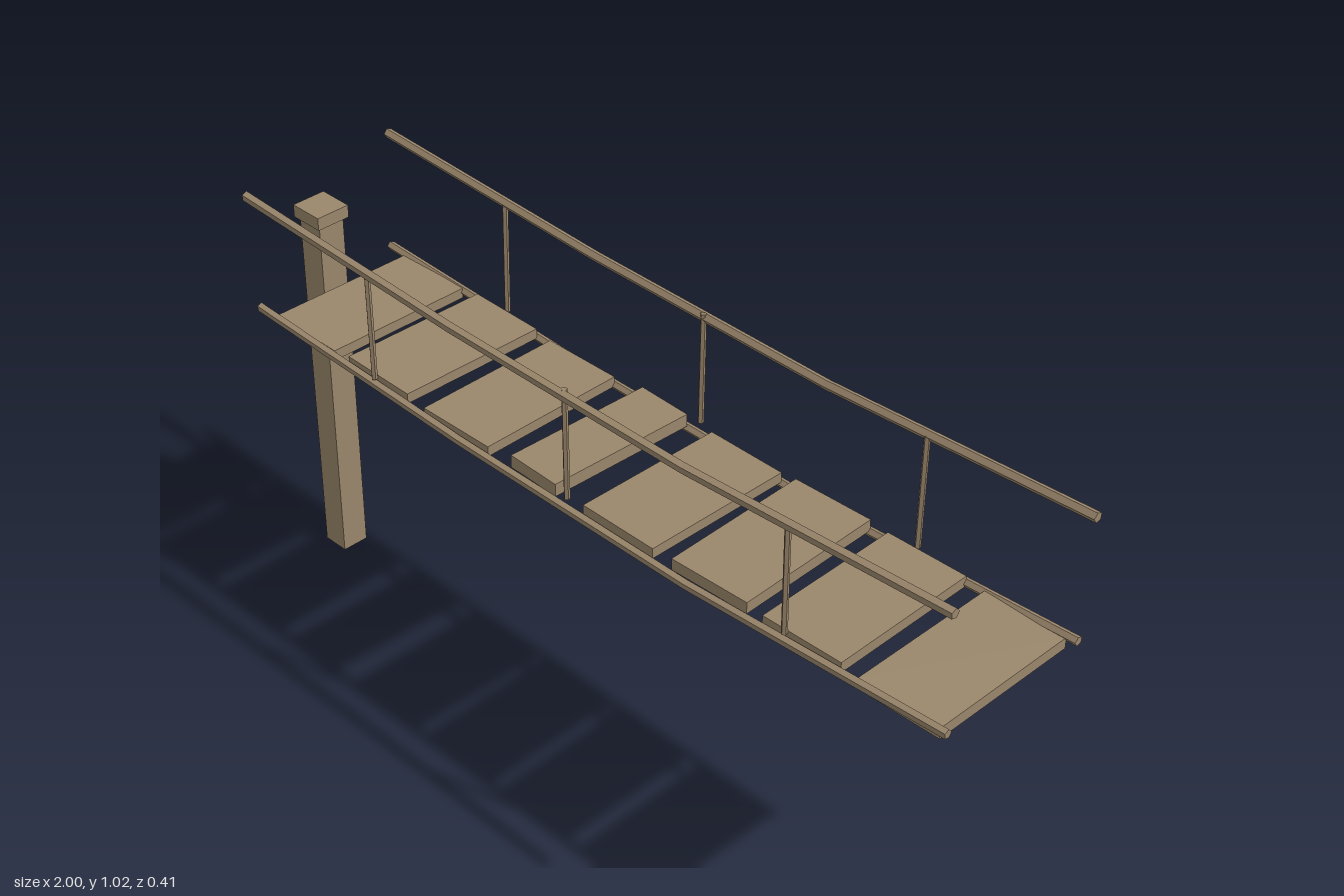
import * as THREE from 'three';

const wood = new THREE.MeshStandardMaterial({ color: 0x9b876c, flatShading: true });
wood.name = 'weatheredWood';

function add(parent, name, geometry, x = 0, y = 0, z = 0) {
  const mesh = new THREE.Mesh(geometry, wood);
  mesh.name = name;
  mesh.position.set(x, y, z);
  parent.add(mesh);
  return mesh;
}

// Five-sided sagging rail: rings placed at each bend, closed at both ends
function railGeometry(heights, z, radius, side) {
  const xs = [-0.955, -0.303, 0.348, 1.0];
  const n = 5;
  const rings = xs.map((x, i) => Array.from({ length: n }, (_, k) => {
    const a = (k / n) * Math.PI * 2 + 0.56;
    return [x, heights[i] + Math.sin(a) * radius, side * (z + Math.cos(a) * radius)];
  }));
  const points = [];
  // Mirrored rails need the opposite corner order to face outwards
  const tri = (a, b, c) => points.push(...a, ...(side > 0 ? [...c, ...b] : [...b, ...c]));
  for (let k = 0; k < n; k++) {
    const m = (k + 1) % n;
    for (let i = 0; i < 3; i++) {
      tri(rings[i][k], rings[i + 1][m], rings[i + 1][k]);
      tri(rings[i][k], rings[i][m], rings[i + 1][m]);
    }
    if (k > 0 && k < n - 1) {
      tri(rings[0][0], rings[0][m], rings[0][k]);
      tri(rings[3][0], rings[3][k], rings[3][m]);
    }
  }
  const geometry = new THREE.BufferGeometry();
  geometry.setAttribute('position', new THREE.Float32BufferAttribute(points, 3));
  geometry.computeVertexNormals();
  return geometry;
}

export function createModel() {
  const model = new THREE.Group();
  model.name = 'plankBridge';

  // End post with cap
  add(model, 'post', new THREE.BoxGeometry(0.066, 0.88, 0.066), -0.958, 0.44, 0);
  add(model, 'postCap', new THREE.BoxGeometry(0.084, 0.03, 0.084), -0.958, 0.895, 0);

  // Planks: centre x, width, bottom, top, turn
  const planks = [
    [-0.804, 0.195, 0.708, 0.732, -0.008],
    [-0.564, 0.194, 0.714, 0.738, -0.015],
    [-0.323, 0.196, 0.704, 0.728, 0.01],
    [-0.082, 0.135, 0.712, 0.742, -0.03],
    [0.156, 0.196, 0.707, 0.731, -0.006],
    [0.398, 0.194, 0.711, 0.738, 0.03],
    [0.639, 0.195, 0.711, 0.736, 0.018],
    [0.879, 0.195, 0.702, 0.728, 0.008],
  ];
  planks.forEach(([x, width, bottom, top, turn], i) => {
    const plank = add(model, `plank${i + 1}`,
      new THREE.BoxGeometry(width, top - bottom, 0.36), x, (top + bottom) / 2, 0);
    plank.rotation.y = turn;
  });

  // Rails and upright poles on both sides
  for (const side of [1, -1]) {
    const label = side > 0 ? 'front' : 'back';
    add(model, `${label}HandRail`, railGeometry([1.013, 0.986, 0.98, 1.011], 0.196, 0.0115, side));
    add(model, `${label}DeckRail`, railGeometry([0.732, 0.706, 0.7, 0.731], 0.185, 0.0105, side));
    for (const x of [-0.568, 0.02, 0.606]) {
      const pole = add(model, `${label}Pole`,
        new THREE.CylinderGeometry(0.0068, 0.0068, 0.262, 5), x, 0.863, side * 0.189);
      pole.rotation.x = side * 0.01;
    }
  }
  return model;
}
